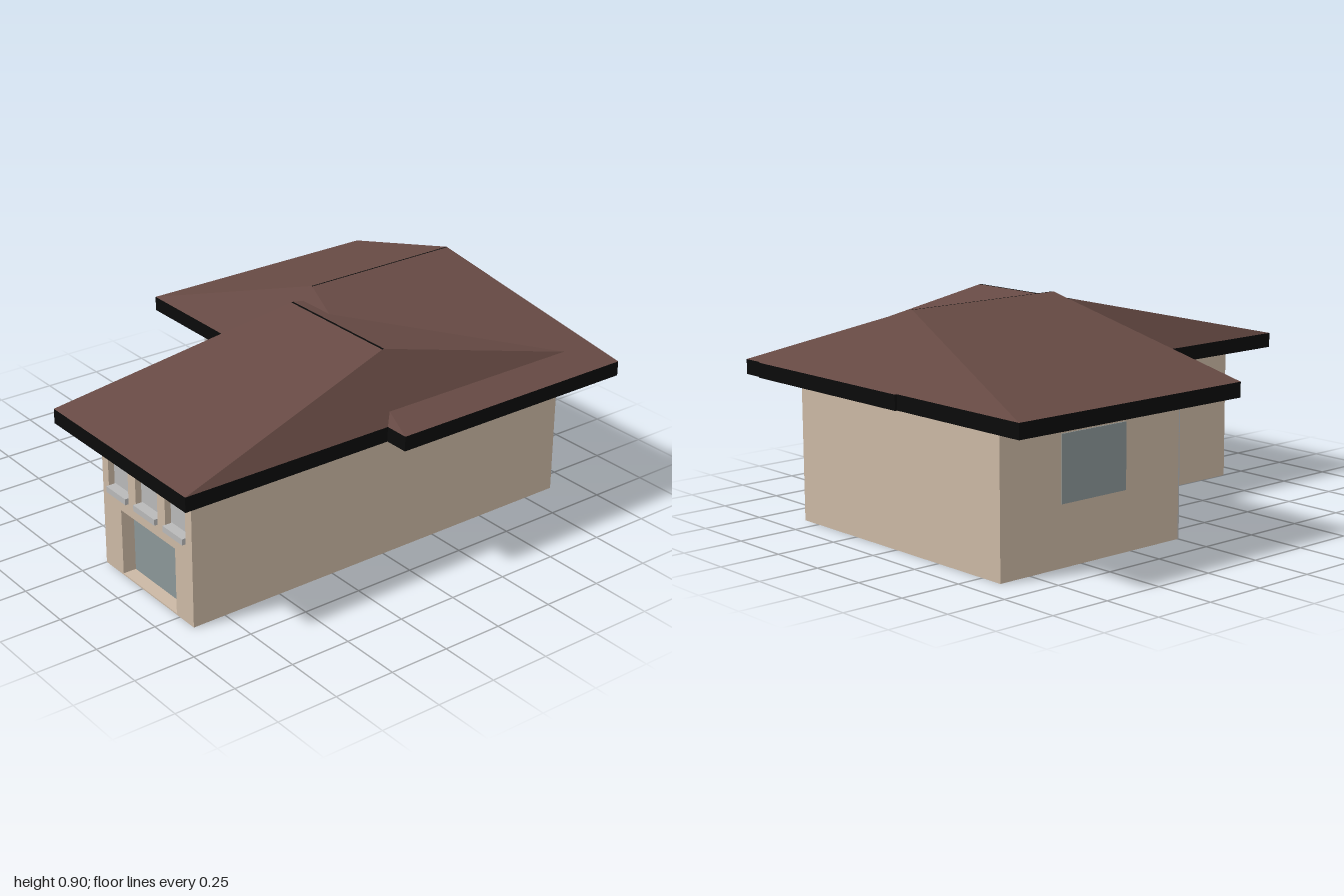
import * as THREE from 'three';

const material = (name, color) => new THREE.MeshStandardMaterial({ name, color });

export function createModel() {
  const beige = material('beige wall', 0xcbb8a4);
  const grey = material('light grey render', 0xb9b9b9);
  const brown = material('brown roof', 0x674a44);
  const black = material('black eaves', 0x0a0a0a);
  const glass = material('grey green glass', 0x8b9697);
  const dark = material('dark door', 0x484443);

  const house = new THREE.Group();
  house.name = 'house';

  const add = (name, geometry, mat) => {
    const mesh = new THREE.Mesh(geometry, mat);
    mesh.name = name;
    house.add(mesh);
    return mesh;
  };
  // Box given by its limits on each axis
  const box = (name, mat, [x0, x1], [y0, y1], [z0, z1]) =>
    add(name, new THREE.BoxGeometry(x1 - x0, y1 - y0, z1 - z0), mat)
      .position.set((x0 + x1) / 2, (y0 + y1) / 2, (z0 + z1) / 2);

  const eaveBottom = 0.57, eaveTop = 0.63;

  // L-shaped body, drawn as a plan (x, -z) and raised
  const plan = new THREE.Shape([[-0.6, 0], [0, 0], [0, -0.83], [0.59, -0.83], [0.59, 0.89], [-0.6, 0.89]]
    .map(([x, y]) => new THREE.Vector2(x, y)));
  const body = new THREE.ExtrudeGeometry(plan, { depth: eaveBottom, bevelEnabled: false });
  add('body', body.rotateX(-Math.PI / 2), beige);

  // Front wall of the wing, with openings for windows and garage
  const rect = (Type, x0, x1, y0, y1) => new Type([[x0, y0], [x1, y0], [x1, y1], [x0, y1]]
    .map(([x, y]) => new THREE.Vector2(x, y)));
  const windows = [[0.04, 0.175], [0.225, 0.37], [0.42, 0.55]];
  const wall = rect(THREE.Shape, 0, 0.59, 0, eaveBottom);
  wall.holes.push(rect(THREE.Path, 0.12, 0.48, 0.006, 0.28));
  windows.forEach(([x0, x1]) => wall.holes.push(rect(THREE.Path, x0, x1, 0.34, 0.505)));
  add('wingFrontWall', new THREE.ExtrudeGeometry(wall, { depth: 0.06, bevelEnabled: false }), beige)
    .position.z = 0.83;
  box('wingTopBand', grey, [0, 0.59], [0.53, eaveBottom], [0.888, 0.892]);

  // Garage door and windows with sills
  box('garageDoor', glass, [0.12, 0.48], [0.006, 0.28], [0.828, 0.835]);
  windows.forEach(([x0, x1]) => {
    box('windowPane', grey, [x0, x1], [0.34, 0.505], [0.857, 0.864]);
    box('windowSill', grey, [x0 + 0.005, x1], [0.33, 0.355], [0.86, 0.905]);
  });

  // Side window
  box('sideWindow', glass, [-0.604, -0.598], [0.24, 0.5], [-0.6, -0.28]);

  // Rendered entrance wall, door with four lights, and handle
  box('entranceWall', grey, [-0.6, 0], [0, eaveBottom], [-0.002, 0.004]);
  box('door', dark, [-0.4, -0.2], [0.002, 0.4], [0.002, 0.009]);
  for (let i = 0; i < 4; i++) {
    const y = 0.11 + i * 0.065;
    box('doorLight', grey, [-0.3, -0.23], [y - 0.019, y + 0.019], [0.006, 0.012]);
  }
  box('doorHandle', grey, [-0.395, -0.388], [0.14, 0.27], [0.006, 0.014]);

  // Hip roof: a box whose top face is drawn in to a narrow ridge
  const hipRoof = (name, x, z, ridgeX, ridgeZ, ridgeY) => {
    box(name + 'Eaves', black, x, [eaveBottom, eaveTop], z);
    const geometry = new THREE.BoxGeometry(1, 1, 1);
    const p = geometry.attributes.position;
    for (let i = 0; i < p.count; i++) {
      const top = p.getY(i) > 0;
      const sx = p.getX(i) > 0 ? 1 : 0, sz = p.getZ(i) > 0 ? 1 : 0;
      p.setXYZ(i, (top ? ridgeX : x)[sx], top ? ridgeY : eaveTop, (top ? ridgeZ : z)[sz]);
    }
    geometry.computeVertexNormals();
    add(name, geometry, [brown, brown, black, black, brown, brown]);
  };
  hipRoof('mainRoof', [-0.82, 0.82], [-0.99, 0.1], [-0.003, 0.003], [-0.8, -0.1], 0.9);
  hipRoof('wingRoof', [-0.15, 0.72], [-1, 1], [0.005, 0.565], [-0.005, 0.005], 0.86);

  return house;
}
